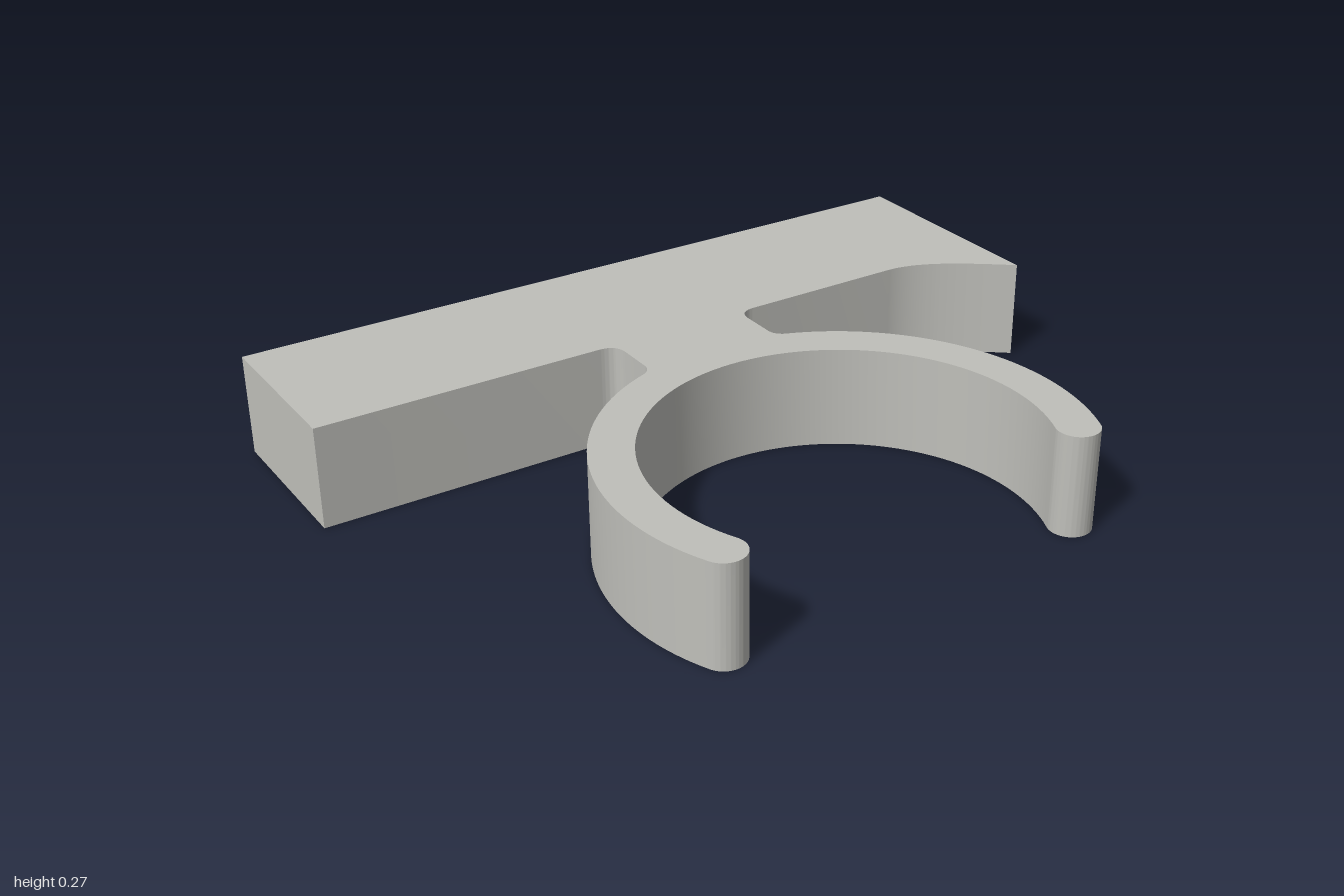
import * as THREE from 'three';
import { toCreasedNormals } from 'three/addons/utils/BufferGeometryUtils.js';

const HEIGHT = 0.27;
const RING_Y = -0.457;          // ring centre; outline y is -z
const OUTER = 0.6, INNER = 0.49;
const MID = (OUTER + INNER) / 2, TIP = (OUTER - INNER) / 2;
const OPEN = THREE.MathUtils.degToRad(25);   // how far each arm runs past the ring's middle
const NECK = 0.185;

function clipOutline() {
  const s = new THREE.Shape();
  const join = Math.acos(0.21 / OUTER);      // where the neck fillet meets the ring
  const joinY = RING_Y + OUTER * Math.sin(join);
  const tipX = MID * Math.cos(OPEN), tipY = RING_Y - MID * Math.sin(OPEN);

  // backing bar with a flared corner on one end
  s.moveTo(-1, 0.285);
  s.lineTo(-1, 0.743);
  s.lineTo(1, 0.743);
  s.lineTo(1, 0.115);
  s.bezierCurveTo(0.89, 0.205, 0.79, 0.285, 0.68, 0.285);
  s.lineTo(0.235, 0.282);

  // neck side with fillets
  s.quadraticCurveTo(NECK, 0.282, NECK, 0.235);
  s.lineTo(NECK, 0.145);
  s.quadraticCurveTo(NECK, 0.118, 0.21, joinY);

  // open ring with rounded tips
  s.absarc(0, RING_Y, OUTER, join, -OPEN, true);
  s.absarc(tipX, tipY, TIP, -OPEN, -OPEN - Math.PI, true);
  s.absarc(0, RING_Y, INNER, -OPEN, Math.PI + OPEN, false);
  s.absarc(-tipX, tipY, TIP, OPEN, OPEN - Math.PI, true);
  s.absarc(0, RING_Y, OUTER, Math.PI + OPEN, Math.PI - join, true);

  // other neck side
  s.quadraticCurveTo(-NECK, 0.118, -NECK, 0.145);
  s.lineTo(-NECK, 0.235);
  s.quadraticCurveTo(-NECK, 0.285, -0.235, 0.285);
  s.closePath();
  return s;
}

export function createModel() {
  const group = new THREE.Group();
  group.name = 'pipeClip';
  const grey = new THREE.MeshStandardMaterial({ color: 0xbfbfba });
  grey.name = 'warm grey';

  const extruded = new THREE.ExtrudeGeometry(clipOutline(), {
    depth: HEIGHT, bevelEnabled: false, curveSegments: 40,
  });
  extruded.rotateX(-Math.PI / 2);
  const body = new THREE.Mesh(toCreasedNormals(extruded, 0.5), grey);
  body.name = 'clipBody';
  group.add(body);
  return group;
}
